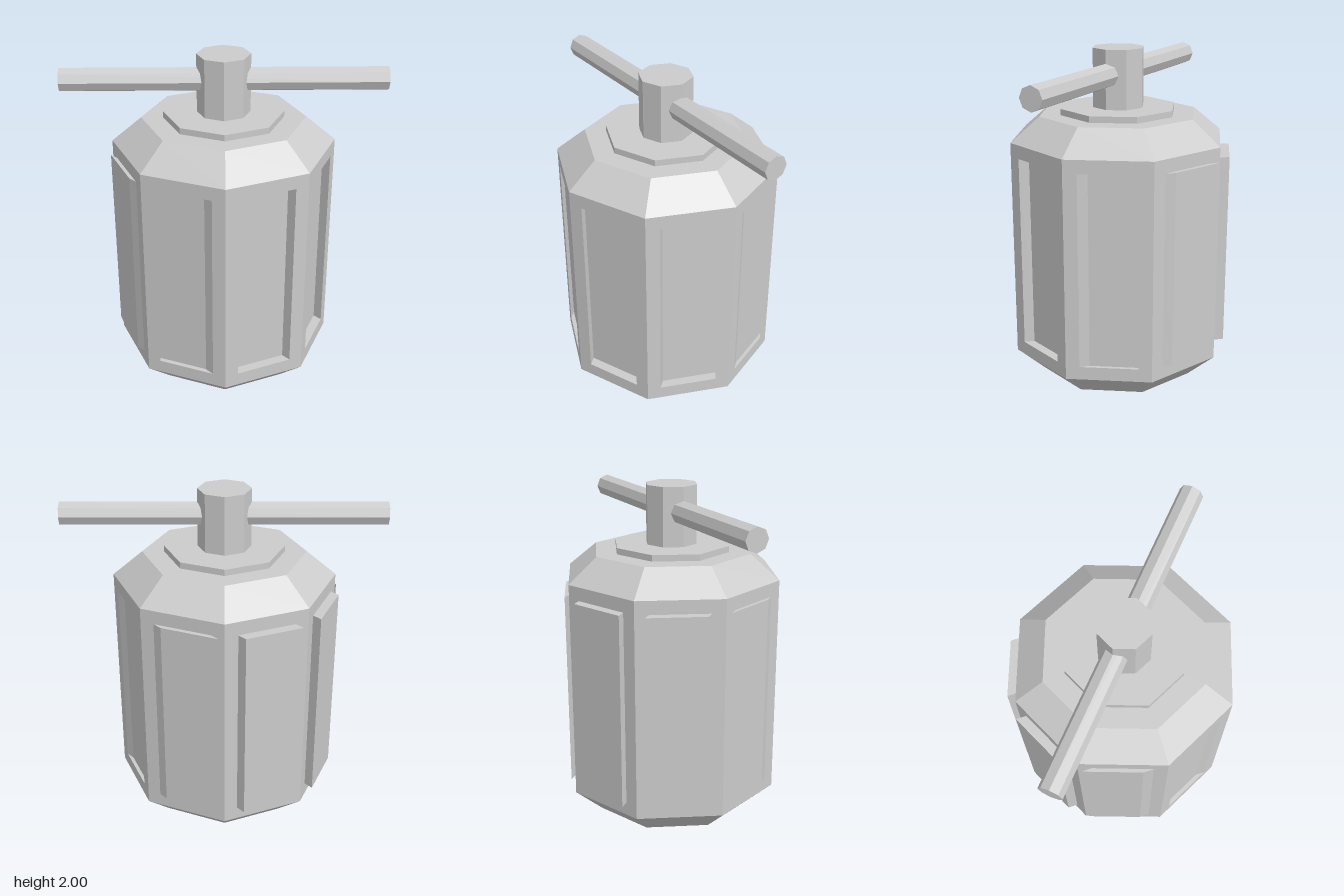
import * as THREE from 'three';

const SIDES = 8, R = 0.657, Y0 = 0.15, Y1 = 1.47, INSET = 0.08;
const SHIFT = new THREE.Vector3(-0.041, 0, -0.045); // all panels are pushed the same way

const material = new THREE.MeshStandardMaterial({ color: 0xcccccc, flatShading: true });

function add(parent, name, geometry, y = 0) {
  const mesh = new THREE.Mesh(geometry, material);
  mesh.name = name;
  mesh.position.y = y;
  parent.add(mesh);
  return mesh;
}

// Closed octagonal turning from [radius, height] pairs, bottom to top
const turned = (pairs) =>
  new THREE.LatheGeometry(pairs.map(([r, y]) => new THREE.Vector2(r, y)), SIDES);

// One side of the body: frame, sheared panel walls and panel face
function sidePanel(i) {
  const corner = (k) => {
    const a = (k / SIDES) * Math.PI * 2;
    return new THREE.Vector3(R * Math.sin(a), 0, R * Math.cos(a));
  };
  const a = corner(i), b = corner(i + 1);
  const t = INSET / a.distanceTo(b);
  const at = (f, y) => a.clone().lerp(b, f).setY(y);
  const outer = [at(0, Y0), at(1, Y0), at(1, Y1), at(0, Y1)];
  const rim = [at(t, Y0 + INSET), at(1 - t, Y0 + INSET), at(1 - t, Y1 - INSET), at(t, Y1 - INSET)];
  const face = rim.map((p) => p.clone().add(SHIFT));
  const points = [];
  const quad = (p, q, r, s) => points.push(p, q, r, p, r, s);
  for (let k = 0; k < 4; k++) {
    const n = (k + 1) % 4;
    quad(outer[k], outer[n], rim[n], rim[k]);
    quad(rim[k], rim[n], face[n], face[k]);
  }
  quad(...face);
  const geometry = new THREE.BufferGeometry().setFromPoints(points);
  geometry.computeVertexNormals();
  return geometry;
}

export function createModel() {
  const model = new THREE.Group();
  model.name = 'canister';
  const body = new THREE.Group();
  body.name = 'body';
  body.position.set(-0.003, 0, 0.003);
  model.add(body);

  // Chamfered base and shoulder
  add(body, 'base', turned([[0, 0], [0.488, 0], [R, Y0]]));
  add(body, 'shoulder', turned([[R, Y1], [0.482, 1.615], [0, 1.615]]));

  // Eight panelled sides
  for (let i = 0; i < SIDES; i++) add(body, 'sidePanel' + (i + 1), sidePanel(i));

  // Lid plate and stem
  add(body, 'lidPlate', new THREE.CylinderGeometry(0.353, 0.353, 0.04, SIDES), 1.632);
  add(body, 'stem', new THREE.CylinderGeometry(0.156, 0.156, 0.36, SIDES), 1.82);

  // Crossbar through the stem
  const bar = add(model, 'handleBar', new THREE.CylinderGeometry(0.07, 0.07, 1.88, SIDES), 1.85);
  bar.rotation.z = Math.PI / 2;
  bar.position.z = 0.004;

  return model;
}
